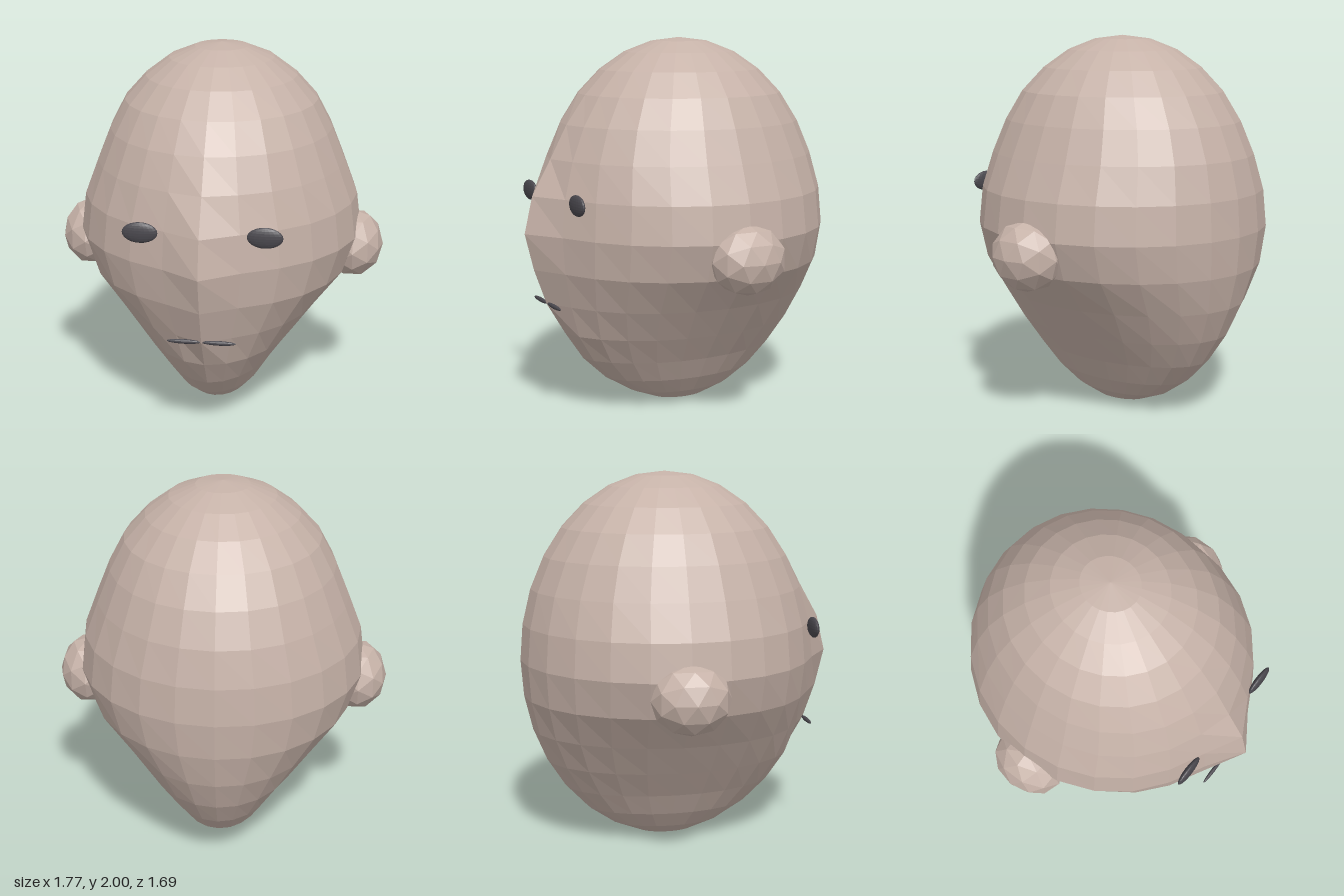
import * as THREE from 'three';

const skin = new THREE.MeshStandardMaterial({ color: 0xc6b2a8 });
skin.name = 'skin';
const dark = new THREE.MeshStandardMaterial({ color: 0x4a484e });
dark.name = 'darkGrey';

// Give every face its own flat normal
function facet(geometry) {
  const g = geometry.index ? geometry.toNonIndexed() : geometry;
  g.computeVertexNormals();
  return g;
}

function addMesh(parent, name, geometry, material, x, y, z) {
  const mesh = new THREE.Mesh(geometry, material);
  mesh.name = name;
  mesh.position.set(x, y, z);
  parent.add(mesh);
}

// Egg-shaped head: ringed sphere with a tapered jaw, blunt chin and sharp nose ridge
function headGeometry() {
  const columns = 24, rings = 16;
  const halfWidth = [0, 0.142, 0.28, 0.403, 0.515, 0.595, 0.665, 0.737, 0.762,
    0.697, 0.55, 0.425, 0.315, 0.24, 0.168, 0.095, 0];
  const nose = [0, 0, 0, 0, 0, 0.01, 0.03, 0.09, 0.12, 0.087, 0.064, 0.033, 0.028, 0.015, 0, 0, 0];
  const g = new THREE.SphereGeometry(1, columns, rings);
  const p = g.attributes.position;
  for (let i = 0; i < p.count; i++) {
    const ring = Math.floor(i / (columns + 1));
    const fromFront = Math.abs((i % (columns + 1)) - columns / 4);
    const s = Math.sin(Math.PI * ring / rings) || 1;
    // The ridge is sharp at the nose and fades softly over the chin
    const fade = ring > 10 ? [1, 0.7, 0.3] : [1, 0.15, 0];
    p.setXYZ(i,
      p.getX(i) / s * halfWidth[ring],
      p.getY(i) * 0.9975 + 1.0025,
      p.getZ(i) * 0.785 + nose[ring] * (fade[fromFront] ?? 0));
  }
  return facet(g);
}

export function createModel() {
  const group = new THREE.Group();
  group.name = 'head';
  addMesh(group, 'skull', headGeometry(), skin, 0, 0, -0.058);

  // Ears, eyes and the two halves of the mouth
  for (const side of [1, -1]) {
    const label = side > 0 ? 'left' : 'right';
    const ear = new THREE.IcosahedronGeometry(1, 1).scale(0.16, 0.183, 0.205);
    addMesh(group, label + 'Ear', facet(ear), skin, side * 0.727, 0.912, -0.058);
    const eye = new THREE.SphereGeometry(1, 20, 12).scale(0.09, 0.054, 0.02);
    addMesh(group, label + 'Eye', facet(eye), dark, side * 0.312, 1.183, 0.687);
    const lip = new THREE.SphereGeometry(1, 16, 8).scale(0.088, 0.012, 0.011);
    addMesh(group, label + 'Lip', facet(lip), dark, side * 0.089, 0.624, 0.727);
  }
  return group;
}
